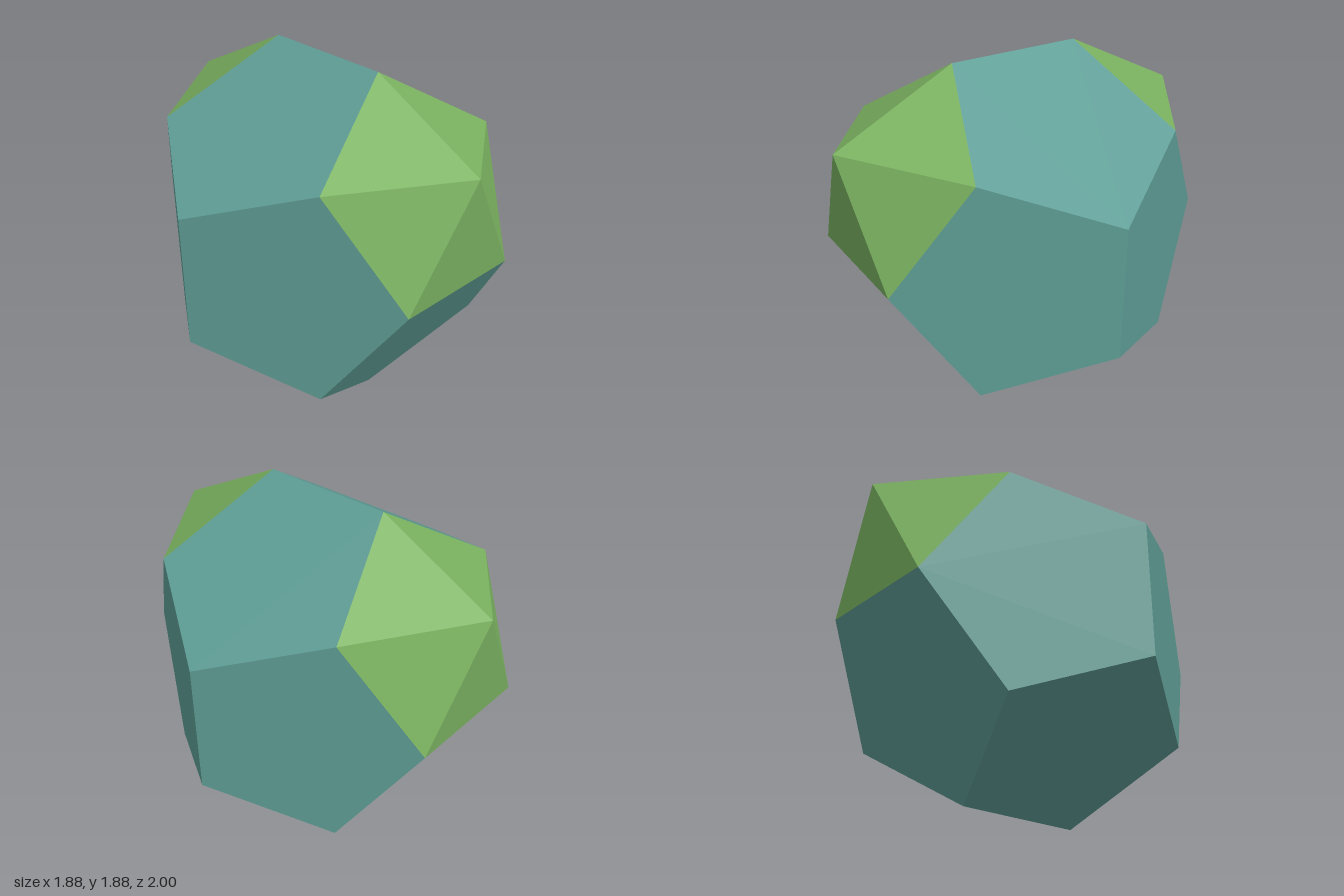
import * as THREE from 'three';

const PHI = (1 + Math.sqrt(5)) / 2;
const EDGE = 0.7172;                 // shared edge length of all faces
const A = EDGE * PHI / 2;            // half side of the inscribed cube
const APEX = Math.hypot(1, 1 / PHI); // distance from centre to a pyramid tip

// The 20 dodecahedron corners
function corners() {
  const pts = [];
  const s = [-1, 1];
  for (const i of s) for (const j of s) {
    for (const k of s) pts.push(new THREE.Vector3(i, j, k));
    pts.push(new THREE.Vector3(0, i * PHI, j / PHI));
    pts.push(new THREE.Vector3(i * PHI, j / PHI, 0));
    pts.push(new THREE.Vector3(i / PHI, 0, j * PHI));
  }
  return pts.map(p => p.multiplyScalar(A));
}

// The five corners of the face along a normal, counter-clockwise from outside
function faceRing(pts, n) {
  const ring = [...pts].sort((p, q) => q.dot(n) - p.dot(n)).slice(0, 5);
  const u = ring[0].clone().addScaledVector(n, -ring[0].dot(n)).normalize();
  const v = n.clone().cross(u);
  const angle = p => Math.atan2(p.dot(v), p.dot(u));
  return ring.sort((p, q) => angle(p) - angle(q));
}

function flatGeometry(triangles) {
  const g = new THREE.BufferGeometry().setFromPoints(triangles);
  g.computeVertexNormals();
  return g;
}

export function createModel() {
  const teal = new THREE.MeshStandardMaterial({ color: 0x5f9e96 });
  teal.name = 'teal';
  const green = new THREE.MeshStandardMaterial({ color: 0x7ab260 });
  green.name = 'green';

  const model = new THREE.Group();
  model.name = 'augmentedDodecahedron';
  const pts = corners();
  const body = [];

  for (const i of [-1, 1]) for (const j of [-1, 1]) {
    const normals = [[0, i, j * PHI], [i, j * PHI, 0], [i * PHI, 0, j]];
    normals.forEach((c, axis) => {
      const n = new THREE.Vector3(...c).normalize();
      const ring = faceRing(pts, n);
      if (axis === 0 && i === 1) {
        // Raised pyramid on the upper front and upper back faces
        const tip = n.clone().multiplyScalar(APEX);
        const tris = ring.flatMap((p, k) => [tip, p, ring[(k + 1) % 5]]);
        const pyramid = new THREE.Mesh(flatGeometry(tris), green);
        pyramid.name = j > 0 ? 'frontPyramid' : 'backPyramid';
        pyramid.position.y = PHI * A;
        model.add(pyramid);
      } else {
        // Plain pentagon as a fan of three triangles
        for (let k = 1; k < 4; k++) body.push(ring[0], ring[k], ring[k + 1]);
      }
    });
  }

  const shell = new THREE.Mesh(flatGeometry(body), teal);
  shell.name = 'pentagonBody';
  shell.position.y = PHI * A;
  model.add(shell);
  return model;
}
